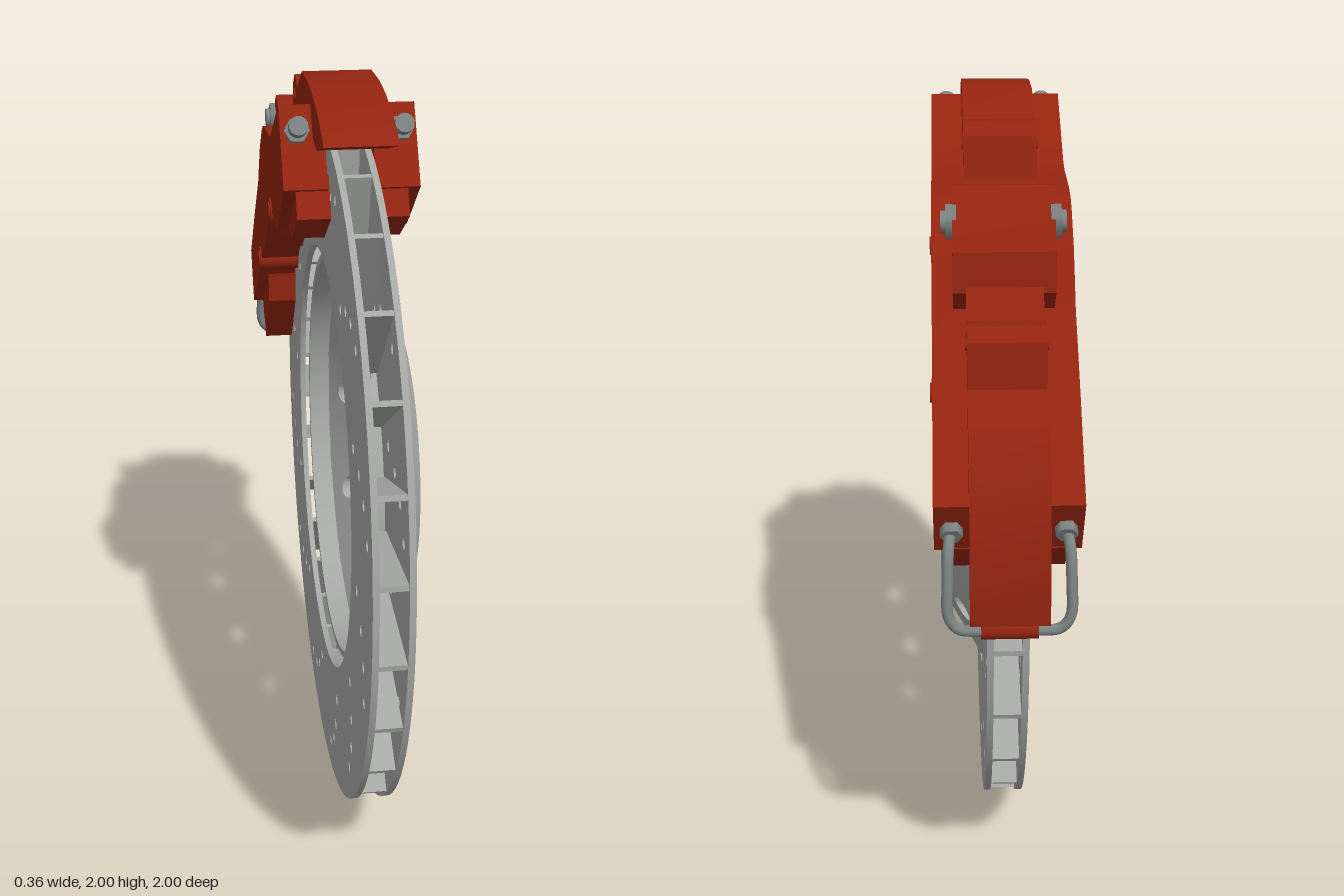
import * as THREE from 'three';
import { mergeGeometries, toCreasedNormals } from 'three/addons/utils/BufferGeometryUtils.js';

// Local frame: u (= -z), v (= y), w (= x); the assembly is turned into place at the end.
const CU = -0.06, CV = 0.94; // disc centre
const DEG = Math.PI / 180;

export function createModel() {
  const mat = (name, color) => {
    const m = new THREE.MeshStandardMaterial({ color });
    m.name = name;
    return m;
  };
  const steel = mat('disc grey', 0xa6a8a6);
  const fittingGrey = mat('fitting grey', 0x7c8282);
  const red = mat('caliper red', 0x942410);

  const root = new THREE.Group();
  root.name = 'discBrake';
  const disc = new THREE.Group();
  disc.name = 'disc';
  disc.position.set(CU, CV, 0);
  const caliper = new THREE.Group();
  caliper.name = 'caliper';

  const add = (parent, name, geometry, material) => {
    const m = new THREE.Mesh(geometry, material);
    m.name = name;
    parent.add(m);
    return m;
  };
  // Extrude a shape between two w planes
  const slab = (shape, w0, w1, curveSegments = 12) => {
    const g = new THREE.ExtrudeGeometry(shape, { depth: w1 - w0, bevelEnabled: false, curveSegments });
    return toCreasedNormals(g.translate(0, 0, w0), 0.5);
  };
  const circle = (Type, x, y, r) => new Type().absarc(x, y, r, 0, Math.PI * 2, false);
  const polar = (r, deg) => [r * Math.cos(deg * DEG), r * Math.sin(deg * DEG)];
  // Outline from pairs in hundredths
  const outline = (list) => list.map(([u, v]) => new THREE.Vector2(u / 100, v / 100));
  // Cylinder between two points
  const rod = (parent, name, a, b, r, material, sides = 20) => {
    const p = new THREE.Vector3(...a), q = new THREE.Vector3(...b);
    const dir = q.clone().sub(p);
    const m = add(parent, name, new THREE.CylinderGeometry(r, r, dir.length(), sides), material);
    m.position.copy(p).lerp(q, 0.5);
    m.quaternion.setFromUnitVectors(new THREE.Vector3(0, 1, 0), dir.normalize());
    return m;
  };

  // --- Vented rotor: two drilled plates with vanes between ---
  const plate = circle(THREE.Shape, 0, 0, 0.94);
  plate.holes.push(circle(THREE.Path, 0, 0, 0.59));
  const drill = [[0.86, 138.5], [0.82, 132.7], [0.763, 128], [0.684, 123.2]];
  for (let k = 0; k < 12; k++) {
    for (const [r, a] of drill) plate.holes.push(circle(THREE.Path, ...polar(r, a + 30 * k), 0.015));
  }
  add(disc, 'outerRotorPlate', slab(plate, 0.034, 0.05, 48), steel);
  add(disc, 'innerRotorPlate', slab(plate, -0.05, -0.034, 48), steel);
  for (let k = 0; k < 28; k++) {
    const a = (180 + 360 / 56 + k * 360 / 28) * DEG;
    const vane = add(disc, 'coolingVane', new THREE.BoxGeometry(0.33, 0.014, 0.07), steel);
    vane.position.set(0.77 * Math.cos(a), 0.77 * Math.sin(a), 0);
    vane.rotation.z = a;
  }

  // --- Floating pins between rotor and hat ---
  for (let k = 0; k < 14; k++) {
    const a = 85.2 + k * 360 / 14;
    rod(disc, 'floatingPin', [...polar(0.55, a), 0], [...polar(0.61, a), 0], 0.018, fittingGrey, 12);
  }

  // --- Hat: flat hub face ---
  const hub = circle(THREE.Shape, 0, 0, 0.38);
  for (let k = 0; k < 5; k++) hub.holes.push(circle(THREE.Path, ...polar(0.28, 69.8 + 72 * k), 0.046));
  add(disc, 'hubFace', slab(hub, 0.137, 0.16, 40), steel);

  // --- Hat: conical wall, ten sectors each wrapped around a round hole ---
  const rMid = 0.4725, rHalf = 0.0925, holeR = 0.034;
  const sectors = [];
  for (let k = 0; k < 10; k++) {
    const g = new THREE.PlaneGeometry(1, 1, 32, 5);
    const pos = g.attributes.position;
    for (let i = 0; i < pos.count; i++) {
      const row = Math.floor(i / 33), t = (i % 33) % 32 / 32 * Math.PI * 2;
      const c = Math.cos(t), s = Math.sin(t), m = Math.max(Math.abs(c), Math.abs(s));
      const f = [1, 0.5, 0, 0, 0.5, 1][row];
      const rr = rMid + THREE.MathUtils.lerp(holeR * s, rHalf * s / m, f);
      const th = (70 + 36 * k) * DEG - THREE.MathUtils.lerp(holeR * c / rMid, 18 * DEG * c / m, f);
      const w = 0.05 + (rMid + rHalf - rr) * 0.11 / 0.185 - (row < 3 ? 0.025 : 0);
      pos.setXYZ(i, rr * Math.cos(th), rr * Math.sin(th), w);
    }
    sectors.push(g);
  }
  add(disc, 'hatCone', toCreasedNormals(mergeGeometries(sectors), 0.5), steel);
  const flange = circle(THREE.Shape, 0, 0, 0.566);
  flange.holes.push(circle(THREE.Path, 0, 0, 0.548));
  add(disc, 'hatFlange', slab(flange, -0.025, 0.05, 40), steel);

  // --- Caliper bridge over the rim, with three raised bosses ---
  const bridge = outline([
    [-43.6, 191], [-41, 192.8], [-34.5, 195.5], [-22, 198.7], [-11.5, 199.9], [2, 199.9], [15.2, 193.3],
    [18, 195.2], [21, 195.5], [25, 192.5], [27.5, 182.6], [37.7, 181], [41, 184.3], [45, 185],
    [52.7, 179.4], [58, 172.5], [59, 164.4], [66, 158], [70, 160], [74, 160], [77, 157], [77.8, 146.3],
    [88.5, 141.4], [94.4, 131.8], [98, 118.5], [99.6, 105], [99.4, 98], [95.5, 96],
  ]);
  for (let a = 8; a <= 104; a += 6) {
    const [x, y] = polar(0.957, a);
    bridge.push(new THREE.Vector2(CU + x, CV + y));
  }
  add(caliper, 'bridge', slab(new THREE.Shape(bridge), -0.09, 0.09), red);
  const boss = outline([[36, 176], [37.7, 181], [41, 184.3], [45, 185], [52.7, 179.4], [58, 172.5], [59, 163], [53, 157]]);
  add(caliper, 'centreBoss', slab(new THREE.Shape(boss), -0.12, 0.12), red);
  rod(caliper, 'pipeUnion', [0.95, 0.95, -0.065], [0.95, 0.95, 0.065], 0.024, red);

  // --- Caliper halves, mirrored either side of the rotor ---
  const body = new THREE.Shape(outline([
    [-17, 195.5], [2, 185], [7, 182.3], [11.5, 181], [20, 180.6], [27.5, 180], [32.5, 179], [36.6, 176.7],
    [44.6, 170], [49.5, 163.5], [53.7, 157.5], [71.4, 142.5], [91.7, 124], [83.7, 109.4], [60.7, 125],
    [55.3, 130], [44.6, 137], [40.4, 141], [34, 143], [24.9, 149.5], [18, 157.5], [13, 160], [4.5, 161.5],
    [-10, 162], [-28.6, 177],
  ]));
  const padBlocks = [
    [[-26, 180], [-31.3, 170.3], [-16.8, 161.2], [2, 162], [0, 172]],
    [[59, 128], [59.6, 117.4], [74, 100.3], [84.2, 109.8], [72, 124]],
  ].map((p) => new THREE.Shape(outline(p)));
  for (const s of [1, -1]) {
    const side = s > 0 ? 'left' : 'right';
    const half = (shape, a, b) => slab(shape, Math.min(s * a, s * b), Math.max(s * a, s * b));
    add(caliper, side + 'Body', half(body, 0.06, 0.17), red);
    for (const p of padBlocks) add(caliper, side + 'PadBlock', half(p, 0.056, 0.14), red);

    // Pad pin bosses and bridge dowels
    for (const [u, v] of [[0.1, 1.61], [0.495, 1.35]]) {
      rod(caliper, side + 'PinBoss', [u, v, s * 0.06], [u, v, s * 0.174], 0.035, red);
      rod(caliper, side + 'PinHead', [u, v, s * 0.17], [u, v, s * 0.178], 0.024, red);
    }
    for (const [u, v] of [[0.205, 1.9], [0.725, 1.555]]) {
      rod(caliper, side + 'Dowel', [u, v, s * 0.08], [u, v, s * 0.094], 0.017, red);
    }

    // Centre bolt
    rod(caliper, side + 'BoltHead', [0.495, 1.775, s * 0.11], [0.495, 1.775, s * 0.135], 0.042, fittingGrey, 6);
    rod(caliper, side + 'BoltTip', [0.495, 1.775, s * 0.13], [0.495, 1.775, s * 0.147], 0.026, fittingGrey);

    // Bleed nipple
    const w = s * 0.13;
    rod(caliper, side + 'BleedHex', [-0.185, 1.885, w], [-0.228, 1.905, w], 0.032, fittingGrey, 6);
    rod(caliper, side + 'BleedStem', [-0.22, 1.902, w], [-0.255, 1.918, w], 0.018, fittingGrey);
    rod(caliper, side + 'BleedCap', [-0.245, 1.913, w], [-0.272, 1.926, w], 0.024, fittingGrey);

    // Crossover pipe and its fitting
    rod(caliper, side + 'PipeNut', [0.86, 1.18, w], [0.9, 1.158, w], 0.026, fittingGrey, 6);
    const path = new THREE.CatmullRomCurve3([
      [0.87, 1.175, 0.13], [0.92, 1.135, 0.137], [0.94, 1.06, 0.14], [0.95, 0.98, 0.138],
      [0.951, 0.95, 0.115], [0.951, 0.946, 0.05],
    ].map(([u, v, x]) => new THREE.Vector3(u, v, s * x)));
    add(caliper, side + 'Pipe', new THREE.TubeGeometry(path, 32, 0.013, 10), fittingGrey);
  }

  const assembly = new THREE.Group();
  assembly.name = 'assembly';
  assembly.rotation.y = Math.PI / 2;
  assembly.add(disc, caliper);
  root.add(assembly);
  return root;
}
